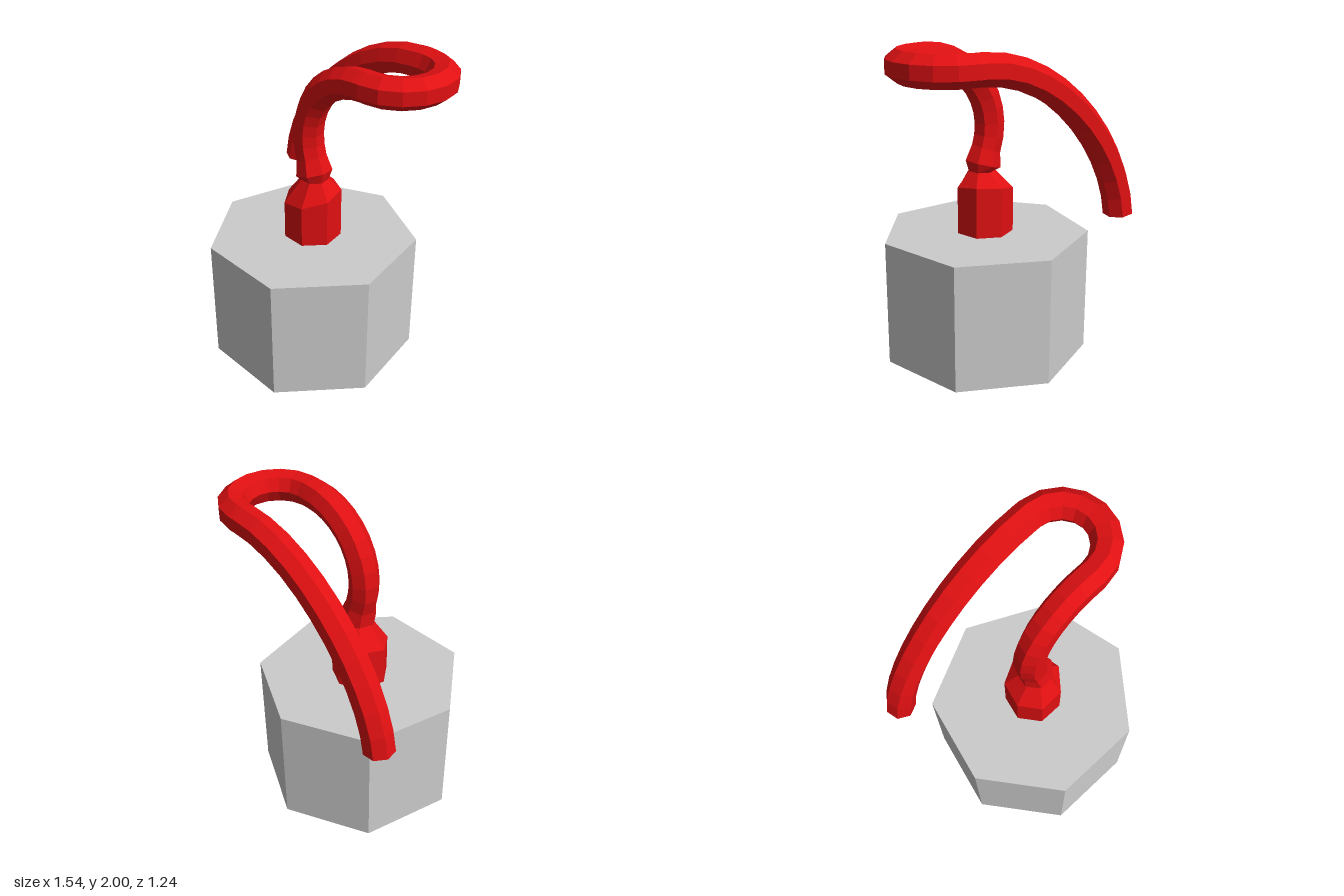
import * as THREE from 'three';

const SIDES = 7;
const V = (x, y, z) => new THREE.Vector3(x, y, z);

// Ring of corners around centre c, square to direction t, with a flat side facing n
function ring(c, t, n, r) {
  const b = new THREE.Vector3().crossVectors(t, n).normalize();
  return Array.from({ length: SIDES }, (_, j) => {
    const a = ((j + 0.5) / SIDES) * Math.PI * 2;
    return c.clone().addScaledVector(n, r * Math.cos(a)).addScaledVector(b, r * Math.sin(a));
  });
}

// Faceted skin over a list of rings, closed at both ends
function loft(rings) {
  const pos = [];
  const tri = (...pts) => pts.forEach((p) => pos.push(p.x, p.y, p.z));
  const last = rings[rings.length - 1];
  for (let j = 0; j < SIDES; j++) {
    const k = (j + 1) % SIDES;
    for (let i = 0; i < rings.length - 1; i++) {
      const lo = rings[i], hi = rings[i + 1];
      tri(lo[j], lo[k], hi[k]);
      tri(lo[j], hi[k], hi[j]);
    }
    if (j > 0 && k > 0) {
      tri(rings[0][0], rings[0][k], rings[0][j]);
      tri(last[0], last[j], last[k]);
    }
  }
  const g = new THREE.BufferGeometry();
  g.setAttribute('position', new THREE.Float32BufferAttribute(pos, 3));
  g.computeVertexNormals();
  return g;
}

export function createModel() {
  const group = new THREE.Group();
  const grey = new THREE.MeshStandardMaterial({ color: 0xcccccc, flatShading: true });
  const red = new THREE.MeshStandardMaterial({ color: 0xe01012, flatShading: true });
  const add = (name, geometry, material) => {
    const mesh = new THREE.Mesh(geometry, material);
    mesh.name = name;
    group.add(mesh);
    return mesh;
  };

  // Seven-sided block, one corner at the back
  const zc = 0.032, baseH = 0.795;
  const base = add('base', new THREE.CylinderGeometry(0.652, 0.652, baseH, SIDES), grey);
  base.rotation.y = Math.PI;
  base.position.set(0, baseH / 2, zc);

  const up = V(0, 1, 0), front = V(0, 0, 1), back = V(0, 0, -1);

  // Socket with a sloping shoulder that narrows to a neck
  const shoulder = ring(V(0, 1.075, zc), up, front, 0.179);
  shoulder.forEach((p) => { p.y += 0.14 * p.x - 0.18 * (p.z - zc); });
  const neck = ring(V(0.02, 1.19, zc), up, front, 0.085);
  add('socket', loft([ring(V(0, baseH, zc), up, front, 0.179), shoulder, neck]), red);

  // Bent rod: collar, rising arc, sideways U-turn, long falling arm
  const r = 0.094, top = 1.906;
  const rod = [neck, ring(V(0.015, 1.23, zc), V(-0.27, 0.96, 0).normalize(), front, 0.114)];

  const riseR = 0.435, riseN = 10;
  for (let i = 0; i <= riseN; i++) {
    const a = THREE.MathUtils.degToRad(200 - (110 * i) / riseN);
    const c = V(0.4 + riseR * Math.cos(a), top - riseR + riseR * Math.sin(a), zc);
    rod.push(ring(c, V(Math.sin(a), -Math.cos(a), 0), front, r));
  }

  const turnR = 0.2485, turnN = 8;
  for (let i = 0; i <= turnN; i++) {
    const a = Math.PI / 2 - (Math.PI * i) / turnN;
    const n = V(Math.cos(a), 0, Math.sin(a));
    const c = V(0.437, top, zc - turnR).addScaledVector(n, turnR);
    rod.push(ring(c, V(Math.sin(a), 0, -Math.cos(a)), n, r));
  }

  const armZ = zc - 2 * turnR, armN = 11;
  const arm = new THREE.CubicBezierCurve3(
    V(0.4, top, armZ), V(-0.115, top, armZ), V(-0.625, 1.38, armZ), V(-0.675, 0.91, armZ));
  for (let i = 0; i <= armN; i++) {
    const t = i / armN;
    rod.push(ring(arm.getPoint(t), arm.getTangent(t), back, r));
  }
  add('hookRod', loft(rod), red);

  return group;
}
